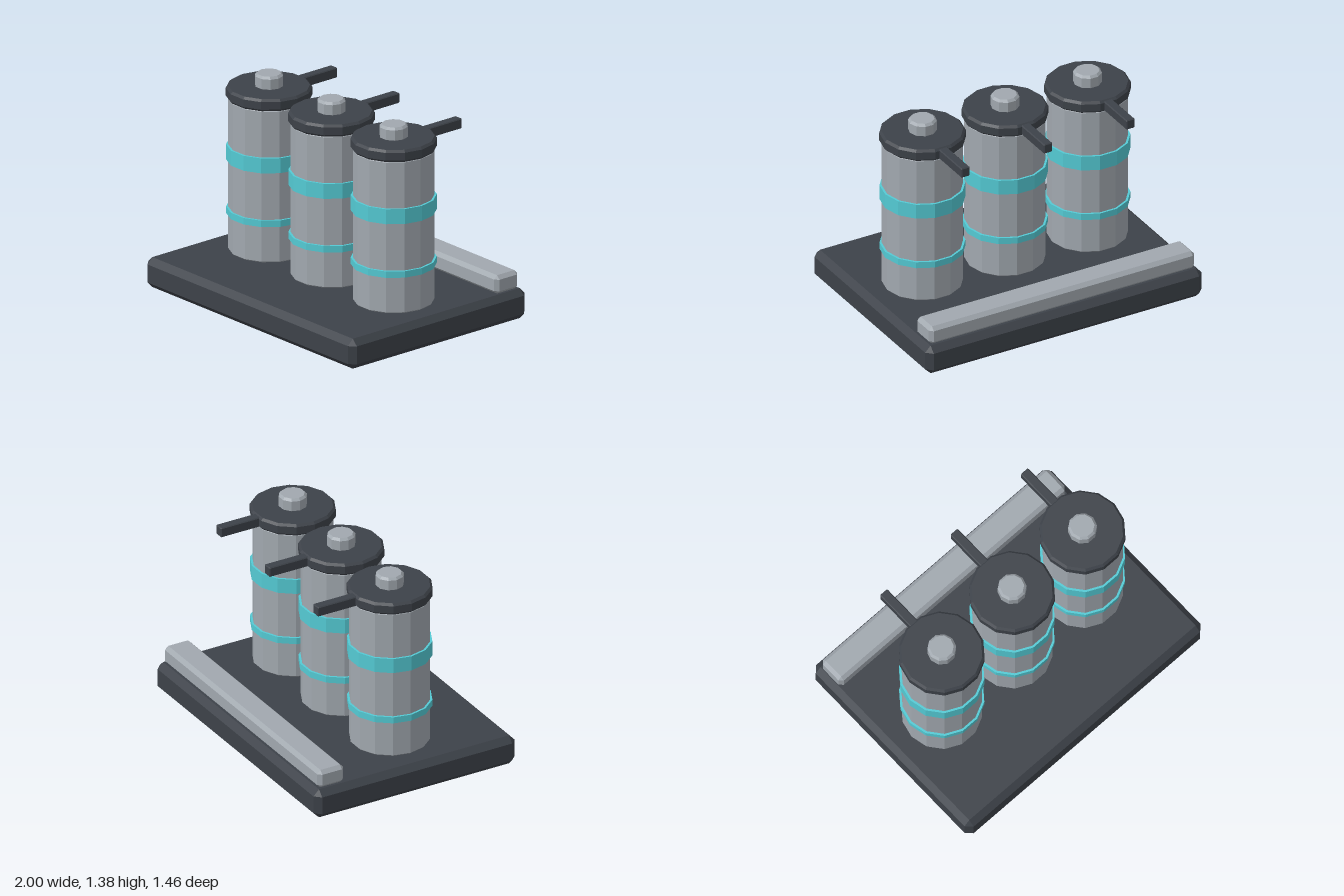
import * as THREE from 'three';
import { ConvexGeometry } from 'three/addons/geometries/ConvexGeometry.js';

const material = (name, color) => {
  const m = new THREE.MeshStandardMaterial({ color });
  m.name = name;
  m.flatShading = true;
  return m;
};

// Box between two corners with every edge chamfered by b
function chamferBox(min, max, b) {
  const half = [0, 1, 2].map(i => (max[i] - min[i]) / 2);
  const points = [];
  for (const sx of [-1, 1]) for (const sy of [-1, 1]) for (const sz of [-1, 1]) {
    for (let axis = 0; axis < 3; axis++) {
      const p = [sx, sy, sz].map((s, i) => s * (half[i] - (i === axis ? 0 : b)));
      points.push(new THREE.Vector3(...p));
    }
  }
  const geo = new ConvexGeometry(points);
  geo.translate(...min.map((v, i) => (v + max[i]) / 2));
  return geo;
}

// Faceted drum with chamfered rims, a corner pointing along x
function drum(radius, y0, y1, b, sides) {
  const profile = [
    [0, y0], [radius - b, y0], [radius, y0 + b],
    [radius, y1 - b], [radius - b, y1], [0, y1],
  ].map(([x, y]) => new THREE.Vector2(x, y));
  return new THREE.LatheGeometry(profile, sides, Math.PI / 2);
}

export function createModel() {
  const model = new THREE.Group();
  model.name = 'canisterRack';
  const dark = material('charcoal', 0x3d4249);
  const grey = material('steelGrey', 0xa1a8af);
  const teal = material('teal', 0x54cad4);

  const add = (parent, name, geo, mat) => {
    const mesh = new THREE.Mesh(geo, mat);
    mesh.name = name;
    parent.add(mesh);
  };

  // Base slab and the rail along its back edge
  add(model, 'base', chamferBox([-1, 0, -0.73], [1, 0.2, 0.73], 0.04), dark);
  add(model, 'backRail', chamferBox([-0.96, 0.195, -0.69], [0.96, 0.32, -0.5], 0.024), grey);

  // Three identical canisters
  for (const [i, x] of [-0.597, 0, 0.597].entries()) {
    const canister = new THREE.Group();
    canister.name = 'canister' + (i + 1);
    canister.position.set(x, 0, 0.038);
    add(canister, 'body', drum(0.256, 0.195, 1.22, 0.012, 14), grey);
    add(canister, 'lowerBand', drum(0.27, 0.443, 0.486, 0, 14), teal);
    add(canister, 'upperBand', drum(0.27, 0.802, 0.902, 0, 14), teal);
    add(canister, 'lid', drum(0.272, 1.213, 1.294, 0.015, 14), dark);
    add(canister, 'knob', drum(0.091, 1.28, 1.377, 0.015, 10), grey);
    add(canister, 'handle', chamferBox([-0.031, 1.22, -0.54], [0.031, 1.287, -0.2], 0.006), dark);
    model.add(canister);
  }
  return model;
}
